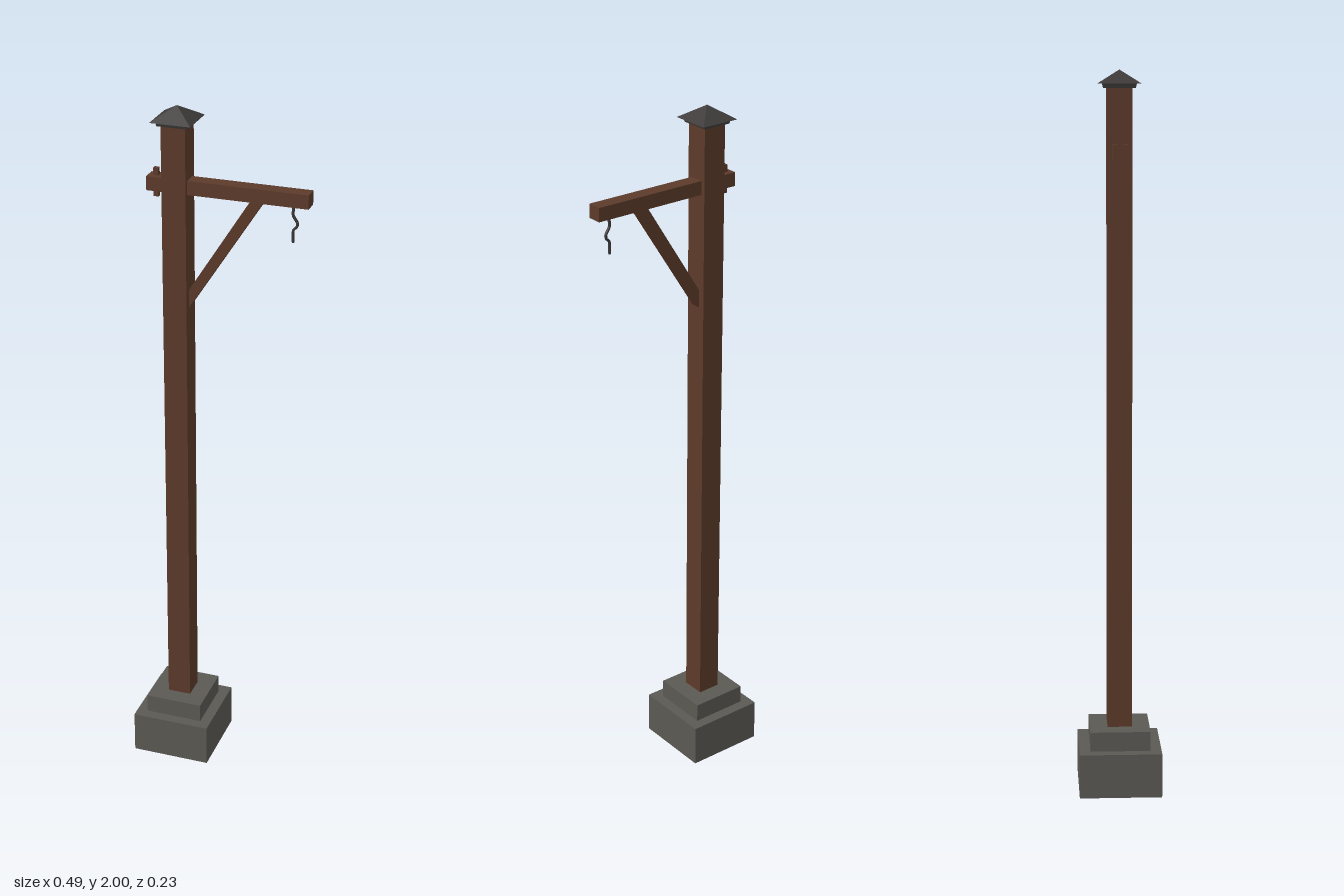
import * as THREE from 'three';

export function createModel() {
  const model = new THREE.Group();
  model.name = 'hangingPost';
  const material = (name, color) => {
    const m = new THREE.MeshStandardMaterial({ color });
    m.name = name;
    return m;
  };
  const wood = material('wood', 0x5c3a2a);
  const stone = material('stone', 0x5b5953);
  const iron = material('darkIron', 0x3e3a3a);

  const add = (name, geometry, mat, x, y, z = 0) => {
    const mesh = new THREE.Mesh(geometry, mat);
    mesh.name = name;
    mesh.position.set(x, y, z);
    model.add(mesh);
    return mesh;
  };
  // Box given by its bottom and top height
  const block = (name, mat, x, w, y0, y1, d) =>
    add(name, new THREE.BoxGeometry(w, y1 - y0, d), mat, x, (y0 + y1) / 2);
  // Four-sided frustum aligned with the axes
  const frustum = (name, top, bottom, y0, y1) => {
    const g = new THREE.CylinderGeometry(top * Math.SQRT1_2, bottom * Math.SQRT1_2, y1 - y0, 4)
      .rotateY(Math.PI / 4).toNonIndexed();
    g.computeVertexNormals();
    return add(name, g, iron, POST_X, (y0 + y1) / 2);
  };
  const POST_X = -0.128;

  // Stepped stone foot and post
  block('footing', stone, POST_X, 0.23, 0, 0.125, 0.23);
  block('footingStep', stone, POST_X, 0.168, 0.125, 0.18, 0.168);
  block('post', wood, POST_X, 0.068, 0.18, 1.957, 0.068);

  // Pointed cap with a narrower collar
  frustum('capCollar', 0.09, 0.084, 1.951, 1.963);
  frustum('capRoof', 0, 0.114, 1.963, 2);

  // Cross arm with a locking peg behind the post
  block('arm', wood, 0.016, 0.452, 1.763, 1.802, 0.042);
  block('peg', wood, -0.188, 0.014, 1.743, 1.823, 0.012);

  // Diagonal brace, cut flush with the post and the arm
  const braceShape = new THREE.Shape([
    [-0.095, 1.434], [0.116, 1.764], [0.08, 1.764], [-0.095, 1.486],
  ].map(([x, y]) => new THREE.Vector2(x, y)));
  add('brace', new THREE.ExtrudeGeometry(braceShape, { depth: 0.028, bevelEnabled: false }),
    wood, 0, 0, -0.014);

  // Bent iron hook under the arm's end
  const hookPoints = [
    [0.196, 1.765], [0.194, 1.735], [0.206, 1.715], [0.205, 1.703], [0.195, 1.692], [0.195, 1.66],
  ].map(([x, y]) => new THREE.Vector3(x, y, 0));
  const hookPath = new THREE.CatmullRomCurve3(hookPoints, false, 'catmullrom', 0.3);
  add('hook', new THREE.TubeGeometry(hookPath, 20, 0.004, 6), iron, 0, 0);
  add('hookTip', new THREE.SphereGeometry(0.004, 6, 4), iron, 0.195, 1.66);

  return model;
}
